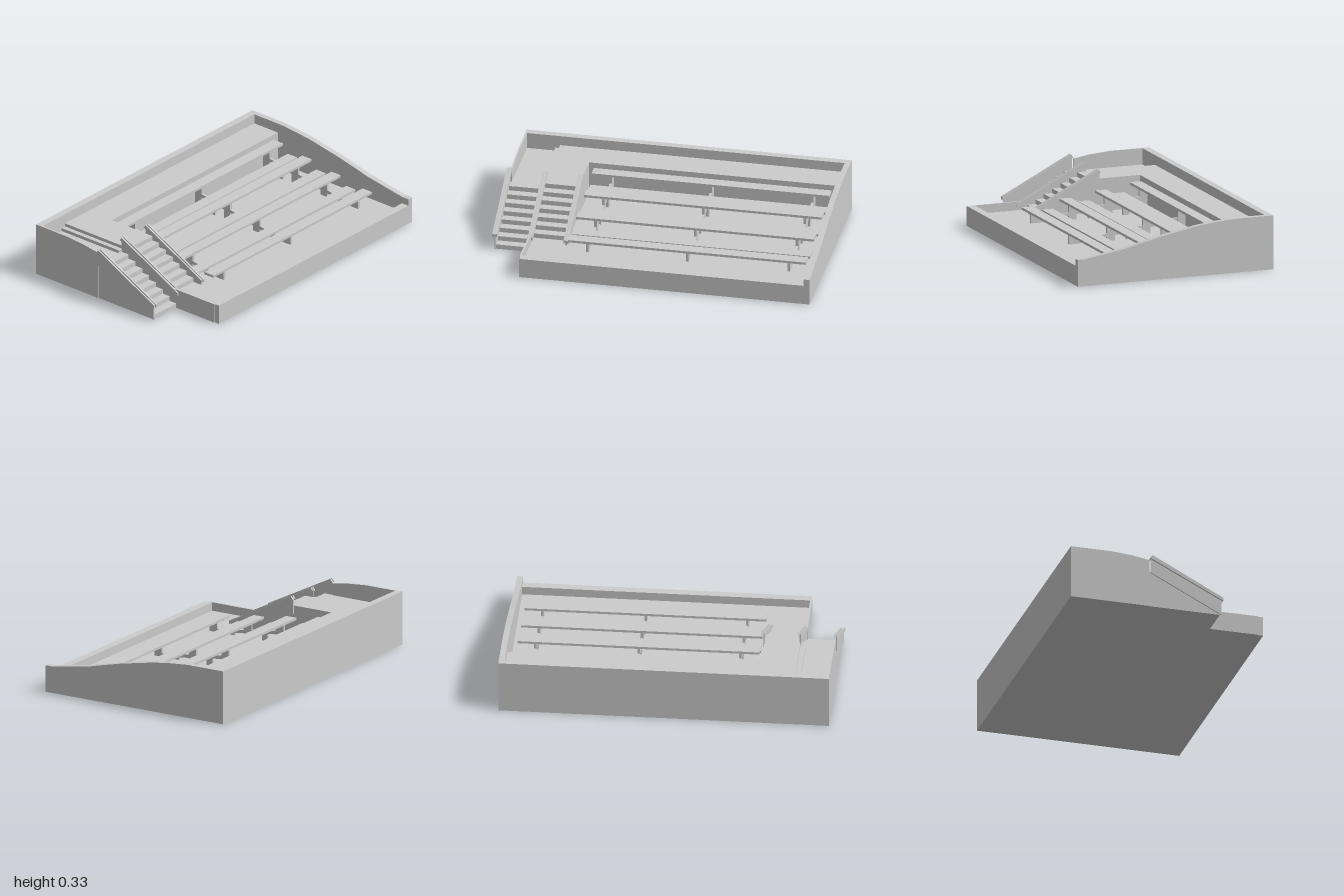
import * as THREE from 'three';

const material = new THREE.MeshStandardMaterial({ color: 0xcccccc, flatShading: true, side: THREE.DoubleSide });

export function createModel() {
  const model = new THREE.Group();

  function add(name, geometry, parent = model) {
    const mesh = new THREE.Mesh(geometry, material);
    mesh.name = name;
    parent.add(mesh);
    return mesh;
  }
  // Box given by its lower and upper limits
  function box(name, x0, x1, y0, y1, z0, z1, parent) {
    const g = new THREE.BoxGeometry(x1 - x0, y1 - y0, z1 - z0);
    g.translate((x0 + x1) / 2, (y0 + y1) / 2, (z0 + z1) / 2);
    return add(name, g, parent);
  }
  // Side profile of [z, y] points, extruded from x0 to x1
  function slab(name, points, x0, x1, parent) {
    const shape = new THREE.Shape(points.map(([z, y]) => new THREE.Vector2(-z, y)));
    const g = new THREE.ExtrudeGeometry(shape, { depth: x1 - x0, bevelEnabled: false });
    g.rotateY(Math.PI / 2);
    g.translate(x0, 0, 0);
    return add(name, g, parent);
  }

  const floorY = 0.07, deckY = 0.27, landingY = 0.23;
  const backZ = -0.585, stairTopZ = -0.08;

  // Sunken floor and perimeter walls
  box('floor', -0.77, 1, 0, floorY, -0.63, 0.63);
  box('frontWall', -0.77, 0.97, 0, 0.122, 0.58, 0.63);
  box('lowSideWall', -0.775, -0.763, 0, 0.122, 0.25, 0.6);
  box('backWall', -0.98, 1, 0, 0.33, -0.63, backZ);
  slab('rightWall', [
    [0.63, 0], [0.63, 0.165], [0.58, 0.165], [0.31, 0.21], [0.25, 0.225], [0.08, 0.265],
    [-0.03, 0.285], [-0.13, 0.305], [-0.25, 0.32], [-0.38, 0.33], [-0.63, 0.33], [-0.63, 0],
  ], 0.965, 1);
  slab('leftWall', [
    [-0.14, 0], [-0.14, 0.303], [-0.25, 0.32], [-0.38, 0.33], [-0.63, 0.33], [-0.63, 0],
  ], -0.983, -0.973);

  // Rear deck, deck behind the stairs, landing and the step between them
  box('rearDeck', -0.77, 0.965, 0, deckY, backZ, -0.4);
  box('stairDeck', -0.77, -0.555, 0, deckY, -0.4, stairTopZ - 0.054);
  box('landing', -0.98, -0.8, 0, landingY, backZ, stairTopZ - 0.054);
  box('landingStep', -0.8, -0.77, 0, 0.25, backZ, stairTopZ - 0.054);

  // Two flights of stairs, each a single stepped profile
  function flight(name, x0, x1, count, baseY, topY) {
    const run = 0.054, rise = (topY - baseY) / count, endZ = stairTopZ - run;
    const points = [[endZ, 0], [stairTopZ + run * (count - 1), 0]];
    for (let i = 0; i < count; i++) {
      const z = stairTopZ + run * (count - 1 - i), y = baseY + rise * (i + 1);
      points.push([z, y], [z - run, y]);
    }
    slab(name, points, x0, x1);
  }
  flight('outerStairs', -0.98, -0.77, 8, 0, landingY);
  flight('innerStairs', -0.77, -0.555, 7, floorY, deckY);

  // Sloping side panels with a handrail strip on both faces
  for (const x of [-0.985, -0.768, -0.55]) {
    const railing = new THREE.Group();
    railing.name = 'railing';
    model.add(railing);
    slab('railingPanel', [[0.305, 0], [0.305, 0.1], [-0.135, 0.325], [-0.135, 0.22]], x - 0.004, x + 0.004, railing);
    for (const side of [-1, 1]) {
      const cx = x + side * 0.0095;
      slab('handrail', [[0.315, 0.087], [0.315, 0.107], [-0.125, 0.33], [-0.14, 0.31]], cx - 0.0055, cx + 0.0055, railing);
    }
  }

  // Bleachers: seats rising to the back, with a lower footboard before each but the first
  const legXs = [-0.41, 0.2, 0.82];
  const seatZs = [0.34, 0.095, -0.135, -0.36];
  const footZs = [null, 0.21, -0.025, -0.25];
  seatZs.forEach((z, i) => {
    const row = new THREE.Group();
    row.name = 'benchRow';
    model.add(row);
    const y = 0.145 + i * 0.031, footY = y - 0.057;
    box('seat', -0.525, 0.925, y - 0.015, y, z - 0.036, z + 0.036, row);
    if (i) box('footboard', -0.525, 0.925, footY - 0.015, footY, footZs[i] - 0.036, footZs[i] + 0.036, row);
    for (const x of legXs) {
      box('leg', x - 0.008, x + 0.008, floorY - 0.01, y - 0.014, z - 0.025, z + 0.025, row);
      if (i) box('footboardLeg', x - 0.008, x + 0.008, floorY - 0.01, footY - 0.014, footZs[i] - 0.02, footZs[i] + 0.02, row);
    }
  });
  // Sloping bearers under the boards
  for (const x of legXs) {
    slab('bearer', [[0.34, 0.065], [0.34, 0.085], [-0.38, 0.182], [-0.38, 0.16]], x - 0.007, x + 0.007);
  }
  return model;
}
